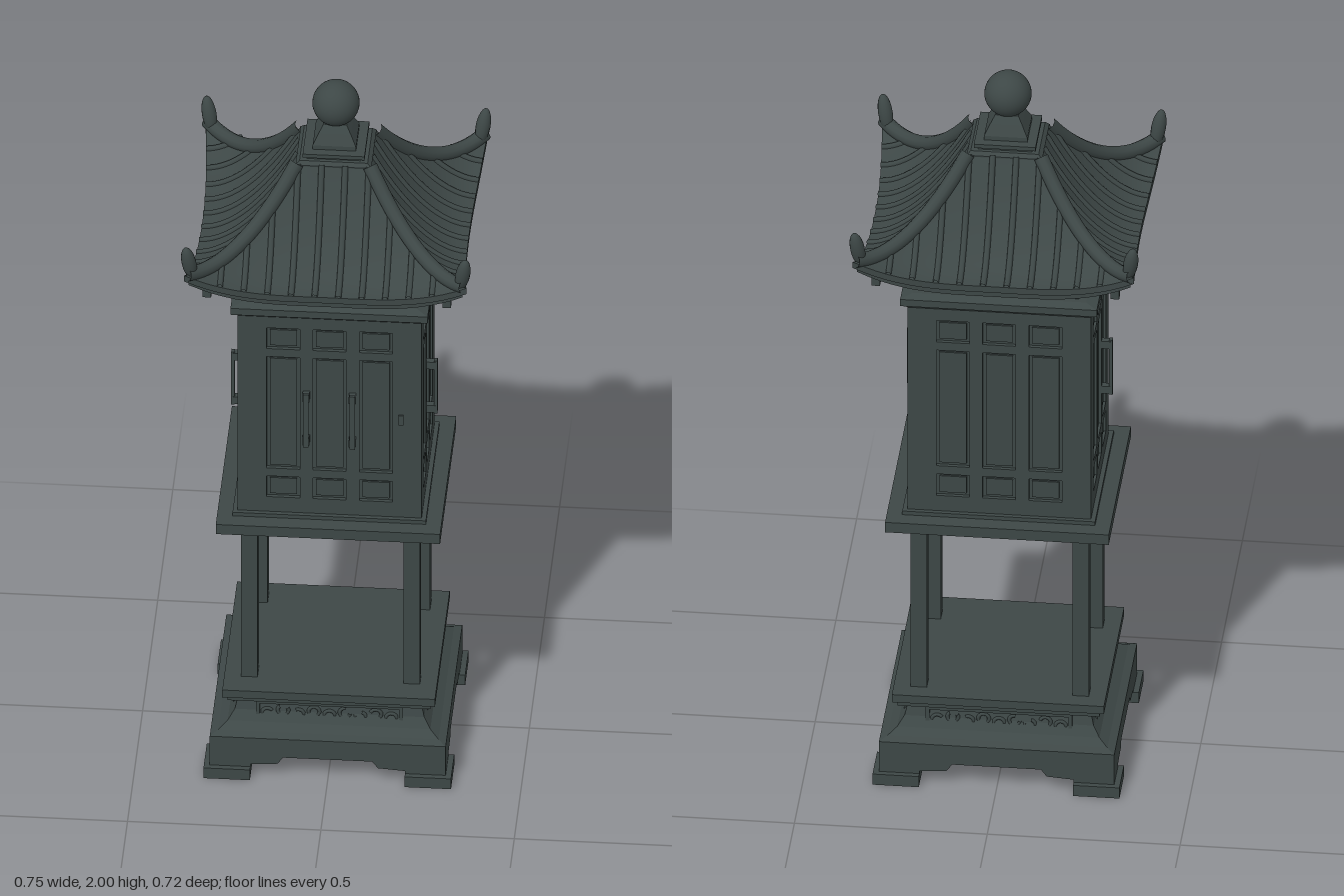
import * as THREE from 'three';
import { mergeVertices, toCreasedNormals } from 'three/addons/utils/BufferGeometryUtils.js';

const iron = new THREE.MeshStandardMaterial({ color: 0x3d4746 });
iron.name = 'dark iron';

function add(parent, name, geometry, x = 0, y = 0, z = 0) {
  const mesh = new THREE.Mesh(geometry, iron);
  mesh.name = name;
  mesh.position.set(x, y, z);
  parent.add(mesh);
  return mesh;
}
const box = (parent, name, w, h, d, x, y, z) =>
  add(parent, name, new THREE.BoxGeometry(w, h, d), x, y, z);

// Faceted rectangular solid from rings of [halfX, halfZ, y], bottom to top
function loft(rings) {
  const pos = [];
  const corner = ([hx, hz, y], k) => [[hx, y, hz], [hx, y, -hz], [-hx, y, -hz], [-hx, y, hz]][k % 4];
  const quad = (a, b, c, d) => pos.push(...a, ...b, ...c, ...a, ...c, ...d);
  for (let i = 0; i < rings.length - 1; i++)
    for (let k = 0; k < 4; k++)
      quad(corner(rings[i], k), corner(rings[i], k + 1), corner(rings[i + 1], k + 1), corner(rings[i + 1], k));
  const a = rings[0], b = rings[rings.length - 1];
  quad(corner(a, 3), corner(a, 2), corner(a, 1), corner(a, 0));
  quad(corner(b, 0), corner(b, 1), corner(b, 2), corner(b, 3));
  const g = new THREE.BufferGeometry();
  g.setAttribute('position', new THREE.Float32BufferAttribute(pos, 3));
  g.computeVertexNormals();
  return g;
}

function polygon(points) {
  return new THREE.Shape(points.map(([x, y]) => new THREE.Vector2(x, y)));
}
const rect = (x0, y0, x1, y1) => [[x0, y0], [x1, y0], [x1, y1], [x0, y1]];

// Flat plate with rectangular openings
function fretPlate(outline, holes, depth) {
  const shape = polygon(outline);
  holes.forEach(h => shape.holes.push(new THREE.Path(polygon(rect(...h)).getPoints())));
  return new THREE.ExtrudeGeometry(shape, { depth, bevelEnabled: false });
}

// Calls build(sideGroup, index) for front, left, back and right
function fourSides(parent, name, build) {
  for (let i = 0; i < 4; i++) {
    const side = new THREE.Group();
    side.name = name;
    side.rotation.y = i * Math.PI / 2;
    build(side, i);
    parent.add(side);
  }
}

function addHandle(parent, x, z) {
  box(parent, 'handleBar', 0.014, 0.165, 0.009, x, 1.098, z + 0.024);
  for (const y of [1.03, 1.166]) box(parent, 'handleMount', 0.018, 0.022, 0.024, x, y, z + 0.012);
}

// Point on the roof: u runs along the eave (-1..1), s from crown to eave (0..1)
function roofPoint(i, u, s) {
  const lerp = THREE.MathUtils.lerp;
  const along = i % 2 ? lerp(0.085, 0.353, s) : lerp(0.095, 0.365, s);
  const out = i % 2 ? lerp(0.095, 0.345 + 0.02 * u * u, s) : lerp(0.085, 0.323 + 0.03 * u * u, s);
  const y = 1.55 + 0.25 * (1 - s) ** 1.9 + 0.07 * Math.abs(u) ** 3 * s * s;
  return new THREE.Vector3(u * along, y, out);
}

function roofPanel(i) {
  const rows = [], cols = 24, pos = [], index = [];
  for (let r = 0; r <= 14; r++) rows.push(u => roofPoint(i, u, r / 14));
  // stepped eave edge and soffit
  for (const [s, drop] of [[1, 0.018], [0.96, 0.018], [0.96, 0.036]])
    rows.push(u => roofPoint(i, u, s).setY(roofPoint(i, u, 1).y - drop));
  rows.push(u => roofPoint(i, u, 0.4).setY(1.52));
  rows.forEach((row, r) => {
    for (let c = 0; c <= cols; c++) {
      pos.push(...row(c / cols * 2 - 1).toArray());
      if (r && c) {
        const d = r * (cols + 1) + c, b = d - 1, a = b - cols - 1, e = a + 1;
        index.push(a, b, d, a, d, e);
      }
    }
  });
  const g = new THREE.BufferGeometry();
  g.setAttribute('position', new THREE.Float32BufferAttribute(pos, 3));
  g.setIndex(index);
  return toCreasedNormals(mergeVertices(g), 0.6);
}

function buildBase(model) {
  const base = new THREE.Group();
  base.name = 'base';
  model.add(base);
  add(base, 'baseBody', loft([[0.305, 0.275, 0.085], [0.305, 0.275, 0.122], [0.285, 0.255, 0.13],
    [0.262, 0.232, 0.145], [0.245, 0.215, 0.17], [0.237, 0.207, 0.205]]));
  add(base, 'baseTop', loft([[0.24, 0.21, 0.203], [0.262, 0.232, 0.208], [0.262, 0.232, 0.222],
    [0.275, 0.245, 0.225], [0.275, 0.245, 0.248]]));
  fourSides(base, 'baseSide', (side, i) => {
    const w = i % 2 ? 0.275 : 0.305, d = i % 2 ? 0.305 : 0.275, k = w / 0.305;
    // bracketed apron between the feet
    const half = [[w, 0], [0.2 * k, 0], [0.2 * k, 0.04], [0.13 * k, 0.045], [0.115 * k, 0.065]];
    const outline = [...half, ...half.slice().reverse().map(([x, y]) => [-x, y]), [-w, 0.12], [w, 0.12]];
    add(side, 'apron', fretPlate(outline, [], 0.06), 0, 0, d - 0.06);
    // carved relief panel
    const pw = 0.19 * k, pz = d - 0.058;
    add(side, 'reliefFrame', fretPlate(rect(-pw, 0.134, pw, 0.202),
      [[-pw + 0.01, 0.143, pw - 0.01, 0.194]], 0.012), 0, 0, pz - 0.008);
    for (let n = -4; n <= 4; n++) {
      const scroll = add(side, 'reliefScroll', new THREE.TorusGeometry(0.014, 0.005, 6, 14, 4.8),
        n * 0.04 * k, 0.168 + (n % 2 ? 0.005 : -0.005), pz - 0.002);
      scroll.rotation.z = n * 1.4;
    }
  });
  for (const sx of [-1, 1]) for (const sz of [-1, 1]) {
    box(base, 'foot', 0.12, 0.032, 0.11, sx * 0.26, 0.016, sz * 0.235);
    box(model, 'post', 0.042, 0.52, 0.043, sx * 0.21, 0.505, sz * 0.168 - 0.01);
  }
}

function buildCabinet(model) {
  const cabinet = new THREE.Group();
  cabinet.name = 'cabinet';
  model.add(cabinet);
  box(cabinet, 'platform', 0.58, 0.03, 0.535, 0, 0.768, 0);
  box(cabinet, 'platformMoulding', 0.5, 0.012, 0.45, 0, 0.788, 0);
  box(cabinet, 'cabinetCore', 0.456, 0.63, 0.406, 0, 1.1, 0);
  add(cabinet, 'cornice', loft([[0.238, 0.213, 1.405], [0.246, 0.22, 1.415], [0.255, 0.23, 1.418],
    [0.255, 0.23, 1.438], [0.225, 0.205, 1.445]]));
  box(cabinet, 'friezeCore', 0.396, 0.13, 0.368, 0, 1.485, 0);

  fourSides(cabinet, 'cabinetSide', (side, i) => {
    const w = i % 2 ? 0.213 : 0.238, d = i % 2 ? 0.238 : 0.213, k = w / 0.238;
    // panelled face: three columns by three rows of recesses
    const holes = [];
    for (const cx of [-0.12, 0, 0.12])
      for (const [y0, y1] of [[0.84, 0.905], [0.93, 1.28], [1.305, 1.37]])
        holes.push([(cx - 0.043) * k, y0, (cx + 0.043) * k, y1]);
    add(side, 'panelFrame', fretPlate(rect(-w, 0.785, w, 1.41), holes, 0.01), 0, 0, d - 0.01);
    for (const [x0, y0, x1, y1] of holes)
      box(side, 'panel', x1 - x0 - 0.016, y1 - y0 - 0.016, 0.007, (x0 + x1) / 2, (y0 + y1) / 2, d - 0.0085);

    // fretwork frieze under the roof
    const fw = i % 2 ? 0.19 : 0.205, fd = i % 2 ? 0.205 : 0.19;
    add(side, 'friezeFrame', fretPlate(rect(-fw, 1.44, fw, 1.535),
      [[-0.165 * k, 1.456, 0.165 * k, 1.512]], 0.008), 0, 0, fd - 0.008);
    for (const cx of [-0.11, 0, 0.11]) {
      add(side, 'friezeFret', fretPlate(rect(-0.034, 1.466, 0.034, 1.503),
        [[-0.026, 1.474, 0.026, 1.495]], 0.007), cx * k, 0, fd - 0.008);
      for (const s of [-1, 1])
        box(side, 'friezeBar', 0.022, 0.007, 0.007, (cx + s * 0.045) * k, 1.484, fd - 0.0045);
    }

    if (i === 0) {
      for (const s of [-1, 1]) addHandle(side, s * 0.06, d - 0.005);
      box(side, 'lock', 0.012, 0.03, 0.008, 0.185, 1.1, d);
    }
    if (i % 2) addHandle(side, i === 1 ? -0.05 : 0.05, d);
  });
}

function buildRoof(model) {
  const roof = new THREE.Group();
  roof.name = 'roof';
  model.add(roof);
  fourSides(roof, 'roofSide', (side, i) => {
    add(side, 'roofPanel', roofPanel(i));
    // tile ribs running straight down the slope
    const top = i % 2 ? 0.085 : 0.095, end = i % 2 ? 0.353 : 0.365;
    for (let n = -4.5; n <= 4.5; n++) {
      const x = n * 0.061;
      const s0 = Math.max(0, (Math.abs(x) - top) / (end - top));
      const points = [];
      for (let j = 0; j <= 8; j++) {
        const s = s0 + (1 - s0) * j / 8;
        points.push(roofPoint(i, x / (top + (end - top) * s), s));
      }
      add(side, 'tileRib', new THREE.TubeGeometry(new THREE.CatmullRomCurve3(points), 14, 0.008, 6));
    }
  });
  // hip ridges, upturned horns and corner drops
  for (const sx of [-1, 1]) for (const sz of [-1, 1]) {
    const points = [];
    for (let j = 0; j <= 10; j++) {
      const p = roofPoint(0, 1, j / 10 * 0.98);
      points.push(new THREE.Vector3(sx * p.x, p.y + 0.003, sz * p.z));
    }
    add(roof, 'hipRidge', new THREE.TubeGeometry(new THREE.CatmullRomCurve3(points), 24, 0.019, 10));
    const horn = add(roof, 'ridgeHorn', new THREE.SphereGeometry(1, 14, 12), sx * 0.354, 1.65, sz * 0.336);
    horn.scale.set(0.019, 0.052, 0.019);
    horn.rotation.set(sz * 0.16, 0, -sx * 0.16);
    box(roof, 'cornerDrop', 0.022, 0.055, 0.022, sx * 0.31, 1.55, sz * 0.295);
  }
  // crown and finial
  add(roof, 'crown', loft([[0.098, 0.088, 1.775], [0.098, 0.088, 1.798], [0.088, 0.08, 1.808]]));
  add(roof, 'finialBase', loft([[0.07, 0.07, 1.8], [0.07, 0.07, 1.816], [0.08, 0.08, 1.817], [0.08, 0.08, 1.828]]));
  add(roof, 'finialNeck', loft([[0.056, 0.056, 1.826], [0.056, 0.056, 1.84], [0.042, 0.042, 1.868], [0.03, 0.03, 1.89]]));
  add(roof, 'finialBall', new THREE.SphereGeometry(0.061, 32, 24), 0, 1.939, 0);
}

export function createModel() {
  const model = new THREE.Group();
  model.name = 'pagodaLantern';
  buildBase(model);
  buildCabinet(model);
  buildRoof(model);
  return model;
}
